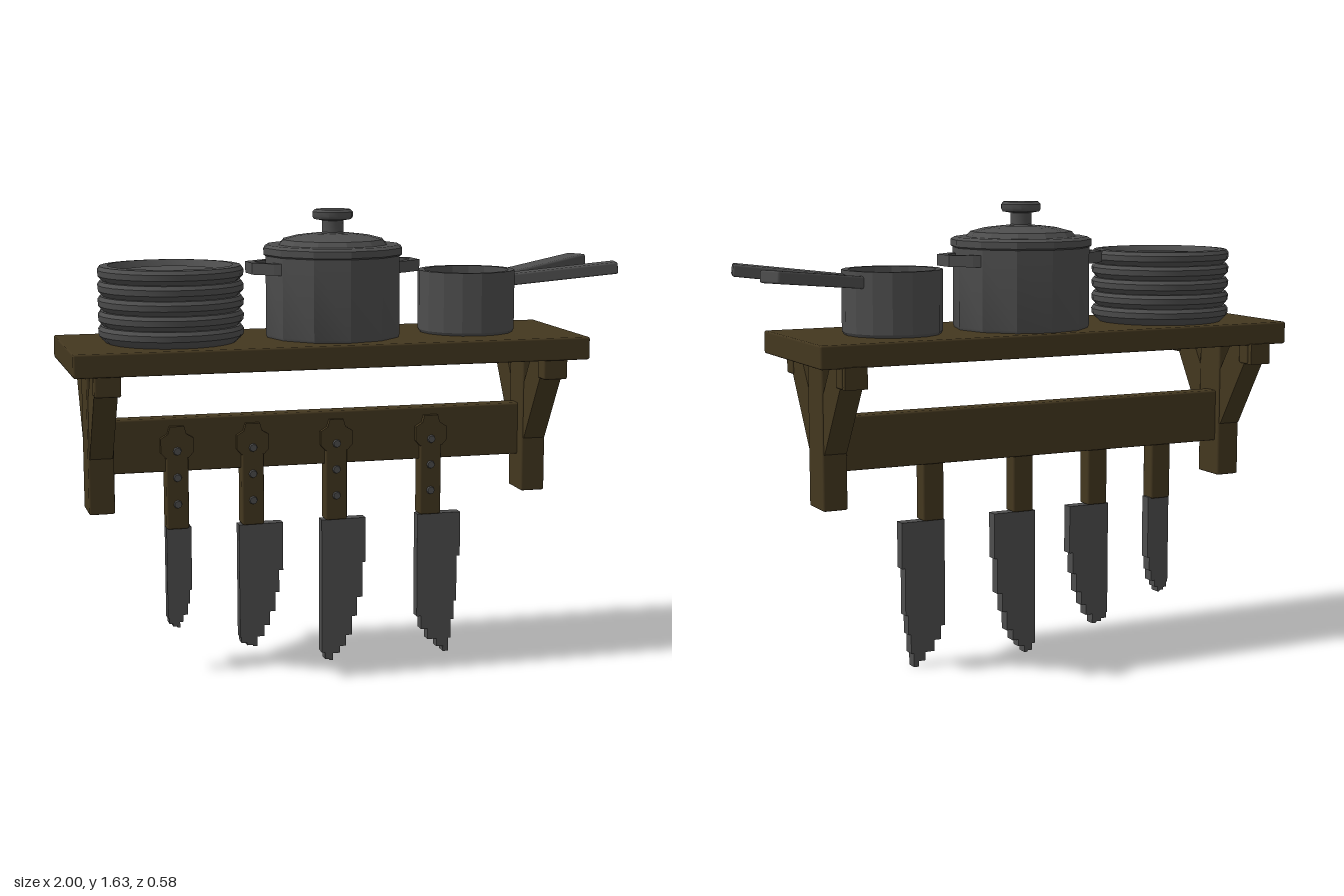
import * as THREE from 'three';
import { toCreasedNormals } from 'three/addons/utils/BufferGeometryUtils.js';
import { RoundedBoxGeometry } from 'three/addons/geometries/RoundedBoxGeometry.js';

export function createModel() {
  const model = new THREE.Group();
  const wood = new THREE.MeshStandardMaterial({ color: 0x43371f });
  wood.name = 'dark wood';
  const metal = new THREE.MeshStandardMaterial({ color: 0x4d4d4d });
  metal.name = 'dark iron';

  function add(name, geometry, material, parent = model) {
    const mesh = new THREE.Mesh(geometry, material);
    mesh.name = name;
    parent.add(mesh);
    return mesh;
  }

  // Softly bevelled box given by its minimum and maximum on each axis
  function block(name, [x0, x1], [y0, y1], [z0, z1], material, parent) {
    const mesh = add(name, new RoundedBoxGeometry(x1 - x0, y1 - y0, z1 - z0, 1, 0.007), material, parent);
    mesh.position.set((x0 + x1) / 2, (y0 + y1) / 2, (z0 + z1) / 2);
    return mesh;
  }

  const outline = (points) => new THREE.Shape(points.map(([x, y]) => new THREE.Vector2(x, y)));

  // Plate of the given thickness, centred on z = 0
  function slab(points, depth) {
    return new THREE.ExtrudeGeometry(outline(points), { depth, bevelEnabled: false }).translate(0, 0, -depth / 2);
  }

  // Turned part with crisp facets
  function turned(profile, sides, crease) {
    const points = profile.map(([r, y]) => new THREE.Vector2(r, y));
    return toCreasedNormals(new THREE.LatheGeometry(points, sides), crease);
  }

  // Shelf and hanging rail
  block('shelf', [-1, 0.815], [1.11, 1.19], [-0.265, 0.29], wood);
  block('rail', [-0.88, 0.69], [0.73, 0.92], [-0.05, 0.015], wood);

  // Bracket at each end: post, two end pads and two diagonal braces
  for (const x of [-0.885, 0.695]) {
    const bracket = new THREE.Group();
    bracket.name = 'bracket';
    bracket.position.set(x, 0, -0.005);
    model.add(bracket);
    block('post', [-0.045, 0.045], [0.6, 1.12], [-0.067, 0.067], wood, bracket);
    for (const s of [1, -1]) {
      const brace = slab([[0.055, 0.79], [0.075, 0.8], [0.225, 1.04], [0.27, 1.04], [0.27, 1.115],
        [0.14, 1.115], [0.055, 0.985]].map(([z, y]) => [z, y]), 0.08);
      brace.rotateY(s > 0 ? -Math.PI / 2 : Math.PI / 2);
      add('brace', brace, wood, bracket);
      block('bracePad', [-0.045, 0.045], [1.04, 1.115], s > 0 ? [0.215, 0.275] : [-0.25, -0.195], wood, bracket);
    }
  }

  // Knives: blade outline starts at the heel; the edge descends in steps
  const knives = [
    { x: -0.615, spine: [[-0.622, 0.17], [-0.637, 0.18], [-0.65, 0.2], [-0.655, 0.26]], top: 0.53,
      edge: [[-0.567, 0.3], [-0.575, 0.25], [-0.583, 0.21], [-0.6, 0.185], [-0.612, 0.165]] },
    { x: -0.345, spine: [[-0.347, 0.08], [-0.37, 0.09], [-0.39, 0.11], [-0.395, 0.17]], top: 0.525,
      edge: [[-0.235, 0.35], [-0.25, 0.27], [-0.265, 0.2], [-0.285, 0.15], [-0.305, 0.11], [-0.332, 0.075]] },
    { x: -0.04, spine: [[-0.063, 0.005], [-0.08, 0.03], [-0.092, 0.06], [-0.092, 0.2]], top: 0.525,
      edge: [[0.072, 0.36], [0.06, 0.23], [0.04, 0.16], [0.022, 0.09], [-0.002, 0.05], [-0.025, 0.025], [-0.05, 0]] },
    { x: 0.313, spine: [[0.37, 0.02], [0.345, 0.05], [0.31, 0.09], [0.285, 0.14], [0.268, 0.18]], top: 0.525,
      edge: [[0.432, 0.36], [0.42, 0.19], [0.41, 0.12], [0.4, 0.05], [0.39, 0]] },
  ];
  for (const { x, spine, edge, top } of knives) {
    const knife = new THREE.Group();
    knife.name = 'knife';
    model.add(knife);
    const points = [[edge[0][0], top]];
    for (const [ex, ey] of edge) points.push([ex, points[points.length - 1][1]], [ex, ey]);
    const left = spine[spine.length - 1][0];
    for (const [sx, sy] of spine) points.push([sx, points[points.length - 1][1]], [sx, sy]);
    points.push([left, top]);
    const clean = points.filter((p, i) => i === 0 || p[0] !== points[i - 1][0] || p[1] !== points[i - 1][1]);
    add('blade', slab(clean, 0.042), metal, knife).position.z = -0.004;
    block('handle', [x - 0.04, x + 0.04], [0.525, 0.84], [-0.034, 0.029], wood, knife);

    // Rounded loop head on the rail
    const head = slab([[-0.04, 0.78], [0.04, 0.78], [0.058, 0.8], [0.058, 0.85], [0.033, 0.865],
      [0.025, 0.892], [-0.025, 0.892], [-0.033, 0.865], [-0.058, 0.85], [-0.058, 0.8]], 0.03);
    add('handleHead', head, wood, knife).position.set(x, 0, 0.018);
    for (const y of [0.615, 0.71, 0.805]) {
      const rivet = add('rivet', new THREE.CylinderGeometry(0.013, 0.016, 0.012, 8).rotateX(Math.PI / 2), metal, knife);
      rivet.position.set(x, y, y > 0.8 ? 0.036 : 0.032);
    }
  }

  // Stack of five plates
  const plates = new THREE.Group();
  plates.name = 'plateStack';
  plates.position.set(-0.625, 1.19, 0.008);
  model.add(plates);
  const plateProfile = [[0, 0], [0.225, 0], [0.238, 0.012], [0.25, 0.025], [0.252, 0.045], [0.243, 0.058],
    [0.215, 0.06], [0.2, 0.035], [0.17, 0.03], [0.16, 0.042], [0, 0.042]];
  for (let i = 0; i < 5; i++) add('plate', turned(plateProfile, 24, 0.6), metal, plates).position.y = i * 0.051;

  // Lidded stock pot
  const pot = new THREE.Group();
  pot.name = 'stockPot';
  pot.position.set(-0.045, 0, -0.002);
  model.add(pot);
  add('potBody', turned([[0, 1.19], [0.238, 1.19], [0.242, 1.2], [0.242, 1.475], [0, 1.475]], 12, 0.4), metal, pot);
  add('lid', turned([[0, 1.47], [0.235, 1.47], [0.25, 1.48], [0.25, 1.503], [0.235, 1.512], [0.195, 1.512],
    [0.18, 1.53], [0.13, 1.543], [0.07, 1.55], [0, 1.55]], 12, 0.4), metal, pot);
  add('lidKnob', turned([[0, 1.54], [0.05, 1.54], [0.038, 1.555], [0.038, 1.595], [0.066, 1.6], [0.071, 1.608],
    [0.071, 1.625], [0.062, 1.634], [0, 1.634]], 14, 0.6), metal, pot);
  for (const s of [1, -1]) {
    const shape = outline([[0.2, -0.12], [0.235, -0.1], [0.3, -0.045], [0.305, 0.045], [0.235, 0.1], [0.2, 0.12]]);
    shape.holes.push(outline([[0.225, -0.065], [0.225, 0.065], [0.277, 0.025], [0.277, -0.025]]));
    const loop = new THREE.ExtrudeGeometry(shape, { depth: 0.04, bevelEnabled: false }).rotateX(Math.PI / 2);
    if (s < 0) loop.rotateY(Math.PI);
    add('potHandle', loop, metal, pot).position.y = 1.455;
  }

  // Open saucepan with two long handles
  const pan = new THREE.Group();
  pan.name = 'saucepan';
  model.add(pan);
  const panBody = turned([[0, 1.19], [0.168, 1.19], [0.174, 1.2], [0.174, 1.412], [0.152, 1.412], [0.152, 1.235],
    [0, 1.235]], 16, 0.35);
  add('panBody', panBody, metal, pan).position.set(0.45, 0, -0.002);
  for (const [z0, z1] of [[-0.055, -0.252], [0.02, 0.12]]) {
    const from = new THREE.Vector3(0.605, 1.375, z0);
    const to = new THREE.Vector3(0.98, 1.418, z1);
    const handle = add('panHandle', new RoundedBoxGeometry(0.085, 0.042, from.distanceTo(to), 1, 0.007), metal, pan);
    handle.position.lerpVectors(from, to, 0.5);
    handle.lookAt(to);
  }
  return model;
}
